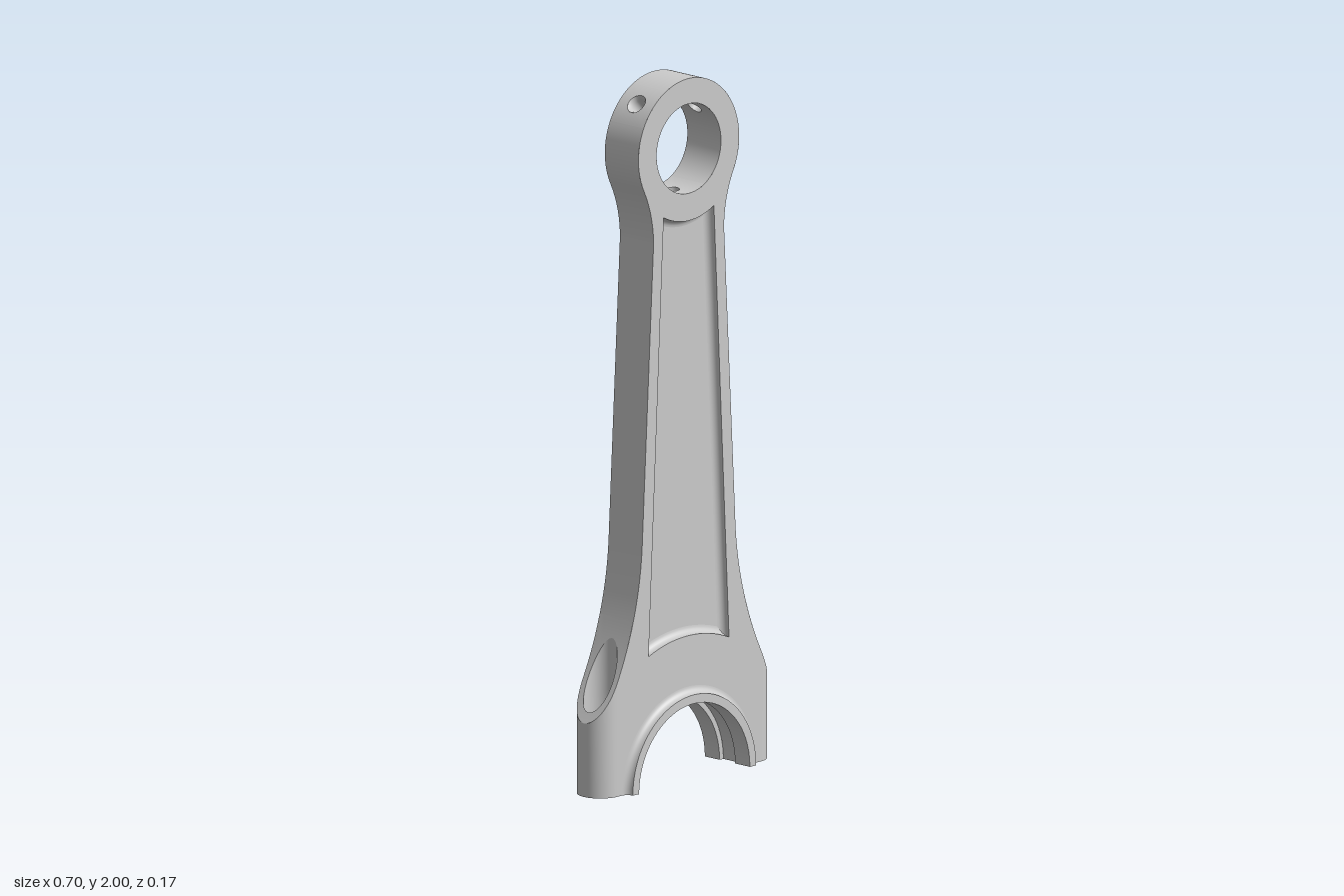
import * as THREE from 'three';
import { mergeVertices } from 'three/addons/utils/BufferGeometryUtils.js';

const { PI, sin, cos, abs, max, sqrt } = Math;
const V2 = (x, y) => new THREE.Vector2(x, y);
const V3 = (x, y, z) => new THREE.Vector3(x, y, z);
const material = new THREE.MeshStandardMaterial({ color: 0xcccccc, side: THREE.DoubleSide });

const T = 0.065;                    // half thickness of the body
const SMALL_Y = 1.8, SMALL_R = 0.2, PIN_R = 0.128;
const BOLT_X = 0.285, SEAT_R = 0.047, BOLT_R = 0.03, SEAT_Y = 0.2;
const GROOVE_R = 0.235, GROOVE_T = 0.03, OIL_R = 0.021, HOLE_R = 0.029;
const SPREAD = 2 * Math.asin(0.227); // angle of the neck fillet

function mesh(name, geometry) {
  const m = new THREE.Mesh(geometry, material);
  m.name = name;
  return m;
}

// Smooth surface from f(u, v) with u, v in 0..1; it faces du x dv
function sheet(name, nu, nv, f) {
  const pos = [], index = [];
  for (let i = 0; i <= nu; i++) for (let j = 0; j <= nv; j++) pos.push(...f(i / nu, j / nv).toArray());
  for (let i = 0; i < nu; i++) for (let j = 0; j < nv; j++) {
    const a = i * (nv + 1) + j, b = a + nv + 1;
    index.push(a, b, b + 1, a, b + 1, a + 1);
  }
  let g = new THREE.BufferGeometry();
  g.setAttribute('position', new THREE.Float32BufferAttribute(pos, 3));
  g.setIndex(index);
  g = mergeVertices(g, 1e-5);
  g.computeVertexNormals();
  return mesh(name, g);
}

function flat(name, pts, holes = []) {
  const s = new THREE.Shape(pts);
  holes.forEach(h => s.holes.push(new THREE.Path(h)));
  return mesh(name, new THREE.ShapeGeometry(s));
}

const arc = (cx, cy, r, a0, a1, n) =>
  Array.from({ length: n + 1 }, (_, i) => V2(cx + r * cos(a0 + (a1 - a0) * i / n), cy + r * sin(a0 + (a1 - a0) * i / n)));

// Surface patch with a round hole, placed by map(p, q)
const square = half => a => half / max(abs(cos(a)), abs(sin(a)));
const patch = (name, r, edge, map) => sheet(name, 8, 48, (u, v) => {
  const a = v * 2 * PI, d = r + (edge(a) - r) * u;
  return map(d * cos(a), d * sin(a));
});

// Point on a cylinder along z: p is arc length from angle t, q is z
const wrap = (cy, R, t, p, q) => V3(R * cos(t + p / R), cy + R * sin(t + p / R), q);

// Flank curve from the stem out to the bolt boss, and its inverse
const flankX = y => {
  const s = 0.7 - y;
  return 0.185 + 0.053 * s + 0.933 - sqrt(0.933 ** 2 - s * s);
};
function flankY(x) {
  let lo = 0.205, hi = 0.7;
  for (let i = 0; i < 30; i++) {
    const m = (lo + hi) / 2;
    if (flankX(m) > x) lo = m; else hi = m;
  }
  return lo;
}

// Right-hand outline from flank position x up to angle a on the small end
function outline(x, a) {
  const y0 = flankY(x), pts = [];
  for (let i = 0; i <= 20; i++) {
    const y = y0 + (0.7 - y0) * i / 20;
    pts.push(V2(flankX(y), y));
  }
  return [...pts, ...arc(0.49, 1.55, 0.35, PI, PI - SPREAD, 10),
    ...arc(0, SMALL_Y, SMALL_R, -SPREAD, a, 28).slice(1)];
}

// Pocket edges, inset by d: bottom, right, top, left
function pocket(d) {
  const side = y => 0.178 - 0.0483 * y - d, rb = 0.41 + d, rt = 0.206 + d;
  let yb = 0.38, yt = 1.62;
  for (let i = 0; i < 8; i++) {
    yb = sqrt(rb ** 2 - side(yb) ** 2);
    yt = SMALL_Y - sqrt(rt ** 2 - side(yt) ** 2);
  }
  const xb = side(yb), xt = side(yt), ab = Math.acos(xb / rb), at = Math.acos(xt / rt);
  return [arc(0, 0, rb, PI - ab, ab, 16), [V2(xb, yb), V2(xt, yt)],
    arc(0, SMALL_Y, rt, -at, at - PI, 16), [V2(-xt, yt), V2(-xb, yb)]];
}
const loop = edges => edges.flatMap(e => e.slice(0, -1));

// Everything on the front face: face plate, pocket, bearing rim
function frontSide() {
  const g = new THREE.Group();
  const right = [V2(0.265, 0), V2(BOLT_X, 0), ...outline(BOLT_X, PI / 2)];
  const left = right.slice(0, -1).reverse().map(p => V2(-p.x, p.y));
  const bore = arc(0, 0, 0.265, PI, 0, 48).slice(1, -1);
  const face = flat('face', [...right, ...left, ...bore],
    [arc(0, SMALL_Y, PIN_R, 0, 2 * PI, 64).slice(0, -1), loop(pocket(0))]);
  face.position.z = T;
  g.add(face);

  // Pocket walls with a rounded foot, then the web
  const rings = Array.from({ length: 7 }, (_, i) => pocket(0.02 * (1 - cos(i * PI / 12))));
  for (let e = 0; e < 4; e++) {
    g.add(sheet('pocketWall', rings[0][e].length - 1, 7, (u, v) => {
      const k = Math.round(v * 7), ring = rings[max(0, k - 1)][e];
      const p = ring[Math.round(u * (ring.length - 1))];
      return V3(p.x, p.y, k ? 0.06 - 0.02 * sin((k - 1) * PI / 12) : T);
    }));
  }
  const web = flat('web', loop(pocket(0.02)));
  web.position.z = 0.04;
  g.add(web);

  // Bearing rim, bore land and groove side
  const fillet = arc(BOLT_X - 0.02, 0.085, 0.02, -PI / 2, -PI, 8);
  const bands = [fillet, [V2(0.245, 0.085), V2(0.245, 0.087)], [V2(0.245, 0.087), V2(0.22, 0.087)],
    [V2(0.22, 0.087), V2(0.22, GROOVE_T)], [V2(0.22, GROOVE_T), V2(GROOVE_R, GROOVE_T)]];
  for (const b of bands) g.add(sheet('bearingRim', 48, b.length - 1, (u, v) => {
    const p = b[Math.round(v * (b.length - 1))];
    return V3(p.x * cos(u * PI), p.x * sin(u * PI), p.y);
  }));
  return g;
}

// Outer wall, bolt boss and oil hole of one side
function sideWall() {
  const g = new THREE.Group();
  const strip = (name, pts) => g.add(sheet(name, pts.length - 1, 1, (u, v) => {
    const p = pts[Math.round(u * (pts.length - 1))];
    return V3(p.x, p.y, (2 * v - 1) * T);
  }));
  const half = T / SMALL_R;
  strip('stemSide', outline(BOLT_X - T, PI / 4 - half));
  strip('smallEndSide', arc(0, SMALL_Y, SMALL_R, PI / 4 + half, PI / 2, 10));

  // Angled oil hole in the small end
  g.add(patch('smallEndSide', HOLE_R, square(T), (p, q) => wrap(SMALL_Y, SMALL_R, PI / 4, p, q)));
  g.add(patch('pinBore', OIL_R, square(T), (p, q) => wrap(SMALL_Y, PIN_R, PI / 4, p, -q)));
  const stations = [[PIN_R, OIL_R], [0.185, OIL_R], [SMALL_R, HOLE_R]];
  g.add(sheet('oilHole', 2, 32, (u, v) => {
    const [R, r] = stations[Math.round(u * 2)], a = -v * 2 * PI;
    return wrap(SMALL_Y, R, PI / 4, r * cos(a), -r * sin(a));
  }));

  // Bolt boss with counterbored seat
  const ring = (r, a, y) => V3(BOLT_X + r * cos(a), y, r * sin(a));
  const topY = (r, a) => flankY(BOLT_X + r * cos(a));
  g.add(patch('shoulder', SEAT_R, a => (cos(a) > 0 ? T : square(T)(a)),
    (p, q) => V3(BOLT_X + p, flankY(BOLT_X + p), -q)));
  g.add(sheet('bossSide', 32, 1, (u, v) => {
    const a = PI / 2 - u * PI;
    return ring(T, a, v * topY(T, a));
  }));
  g.add(sheet('boltSeatWall', 48, 1, (u, v) => {
    const a = u * 2 * PI;
    return ring(SEAT_R, a, SEAT_Y + v * (topY(SEAT_R, a) - SEAT_Y));
  }));
  g.add(sheet('boltSeat', 48, 1, (u, v) => ring(SEAT_R + v * (BOLT_R - SEAT_R), u * 2 * PI, SEAT_Y)));
  g.add(sheet('boltHole', 48, 1, (u, v) => ring(BOLT_R, u * 2 * PI, v * SEAT_Y)));

  // Joint face at the bottom
  const edge = [...arc(BOLT_X, 0, T, 0, PI / 2, 16), ...arc(0.265, 0.085, 0.02, -PI / 2, -PI, 8),
    V2(0.245, 0.087), V2(0.22, 0.087), V2(0.22, GROOVE_T), V2(GROOVE_R, GROOVE_T)];
  const joint = flat('jointFace', [...edge, ...edge.slice(1).reverse().map(p => V2(p.x, -p.y))],
    [arc(BOLT_X, 0, BOLT_R, 0, 2 * PI, 48).slice(0, -1)]);
  joint.rotation.x = PI / 2;
  g.add(joint);

  // Bearing groove floor up to the oil passage
  const end = PI / 2 - GROOVE_T / GROOVE_R;
  g.add(sheet('bearingGroove', 24, 1, (u, v) => wrap(0, GROOVE_R, u * end, 0, GROOVE_T * (1 - 2 * v))));
  return g;
}

export function createModel() {
  const model = new THREE.Group();
  model.name = 'connectingRod';
  const front = frontSide(), back = frontSide();
  front.name = 'frontSide';
  back.name = 'backSide';
  back.rotation.y = PI;
  const left = sideWall(), right = sideWall();
  left.name = 'leftSide';
  right.name = 'rightSide';
  right.scale.x = -1;
  model.add(front, back, left, right);

  // Rest of the pin bore, between the oil hole patches
  const h = T / PIN_R;
  for (const [a, b] of [[PI / 4, 3 * PI / 4], [3 * PI / 4, 1.5 * PI], [1.5 * PI, 2.25 * PI]])
    model.add(sheet('pinBore', 16, 1, (u, v) =>
      wrap(SMALL_Y, PIN_R, a + h + u * (b - a - 2 * h), 0, T * (1 - 2 * v))));
  model.add(patch('pinBore', OIL_R, square(T), (p, q) => wrap(SMALL_Y, PIN_R, 1.5 * PI, p, -q)));

  // Oil passage down the stem into the bearing groove
  model.add(patch('bearingGroove', OIL_R, square(GROOVE_T), (p, q) => wrap(0, GROOVE_R, PI / 2, p, -q)));
  model.add(sheet('oilPassage', 1, 32, (u, v) => {
    const a = v * 2 * PI, p = OIL_R * cos(a), q = OIL_R * sin(a);
    return u ? wrap(SMALL_Y, PIN_R, 1.5 * PI, p, q) : wrap(0, GROOVE_R, PI / 2, -p, q);
  }));
  return model;
}
